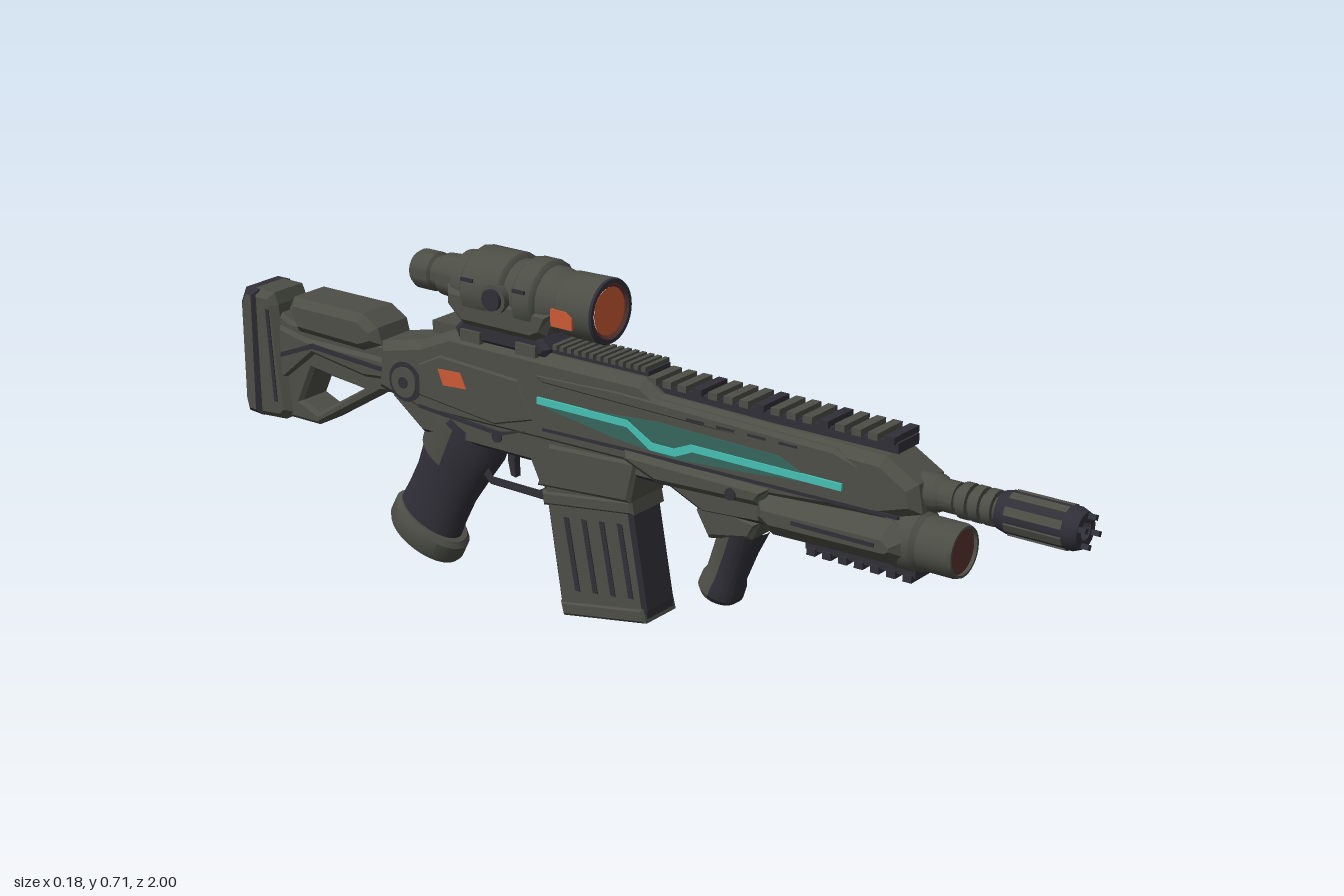
import * as THREE from 'three';
import { toCreasedNormals } from 'three/addons/utils/BufferGeometryUtils.js';

const paint = (name, color) => {
  const m = new THREE.MeshStandardMaterial({ color });
  m.name = name;
  return m;
};

export function createModel() {
  const olive = paint('olive grey', 0x4c4e46);
  const dark = paint('dark slate', 0x302f38);
  const orange = paint('orange', 0xcb5a35);
  const teal = paint('bright teal', 0x46c0b4);
  const deepTeal = paint('deep teal', 0x35665e);
  const lens = paint('dull red lens', 0x5a3330);
  const root = new THREE.Group();

  const add = (name, geo, mat, parent = root) => {
    const m = new THREE.Mesh(geo, mat);
    m.name = name;
    parent.add(m);
    return m;
  };
  // Side profile of [z, y] points, extruded across x with chamfered edges
  const slab = (name, pts, half, mat, bevel = 0.01, hole = null, cx = 0) => {
    const shape = new THREE.Shape(pts.map(p => new THREE.Vector2(...p)));
    if (hole) shape.holes.push(new THREE.Path(hole.map(p => new THREE.Vector2(...p))));
    const depth = 2 * (half - bevel);
    const geo = new THREE.ExtrudeGeometry(shape, {
      depth, bevelEnabled: bevel > 0, bevelThickness: bevel, bevelSize: bevel, bevelOffset: -bevel, bevelSegments: 1,
    });
    geo.translate(0, 0, -depth / 2).rotateY(-Math.PI / 2).translate(cx, 0, 0);
    return add(name, geo, mat);
  };
  const rect = (z0, z1, y0, y1) => [[z0, y0], [z1, y0], [z1, y1], [z0, y1]];
  // Thin plate on both sides, its outer face at x = +-face
  const plate = (name, pts, face, mat) => {
    for (const s of [1, -1]) slab(name, pts, 0.003, mat, 0, null, s * (face - 0.003));
  };
  const box = (name, w, h, d, x, y, z, mat) =>
    add(name, new THREE.BoxGeometry(w, h, d).translate(x, y, z), mat);
  // Round part along z from [z, radius] points, back to front
  const turned = (name, pts, y, mat, sides = 32, x = 0) => {
    const geo = new THREE.LatheGeometry(pts.map(([z, r]) => new THREE.Vector2(r, z)), sides);
    return add(name, toCreasedNormals(geo.rotateX(Math.PI / 2), 0.6).translate(x, y, 0), mat);
  };
  const disc = (name, r, y, z, mat) => add(name, new THREE.CircleGeometry(r, 32).translate(0, y, z), mat);

  // Barrel and muzzle
  turned('barrel', [[0.6, 0], [0.6, 0.036], [0.69, 0.036], [0.7, 0.03], [0.73, 0.03], [0.73, 0.024], [0.84, 0.024]], 0.44, olive, 16);
  for (let i = 0; i < 3; i++)
    turned('barrelRing', [[0, 0.02], [0, 0.034], [0.018, 0.034], [0.018, 0.02]].map(([z, r]) => [z + 0.74 + i * 0.026, r]), 0.44, olive, 16);
  turned('muzzle', [[0.82, 0.02], [0.82, 0.036], [0.835, 0.04], [0.97, 0.04], [0.985, 0.034], [0.985, 0.018], [0.94, 0.016], [0.94, 0]], 0.44, dark, 16);
  for (let i = 0; i < 8; i++) {
    const a = i * Math.PI / 4 + Math.PI / 8;
    const rib = new THREE.BoxGeometry(0.006, 0.016, 0.115).translate(0.039, 0, 0.9).rotateZ(a).translate(0, 0.44, 0);
    add('muzzleRib', rib, olive);
    if (i % 2) add('muzzleProng', new THREE.BoxGeometry(0.01, 0.01, 0.025).translate(0.027, 0, 0.9875).rotateZ(a).translate(0, 0.44, 0), dark);
  }

  // Receiver and handguard
  slab('upperBody', [[0.68, 0.41], [0.67, 0.465], [0.6, 0.505], [0.1, 0.515], [0.06, 0.54], [-0.42, 0.54], [-0.5, 0.505],
    [-0.61, 0.48], [-0.62, 0.38], [-0.5, 0.35], [0.3, 0.36], [0.6, 0.385]], 0.06, olive, 0.018);
  slab('lowerReceiver', [[0.34, 0.39], [0.34, 0.31], [0.2, 0.3], [0.12, 0.335], [0.04, 0.335], [0.03, 0.29], [-0.2, 0.27],
    [-0.22, 0.31], [-0.5, 0.31], [-0.58, 0.37], [-0.58, 0.4]], 0.054, [olive, dark], 0.008);
  slab('handguardSide', [[0.36, 0.39], [0.34, 0.35], [0.1, 0.34], [0.02, 0.37], [0.02, 0.395]], 0.073, olive, 0.014);
  slab('magazineWell', [[0.05, 0.37], [0.03, 0.28], [-0.2, 0.265], [-0.17, 0.36]], 0.06, olive, 0.008);
  slab('receiverArmour', [[-0.2, 0.40], [-0.24, 0.48], [-0.44, 0.49], [-0.5, 0.46], [-0.5, 0.39], [-0.3, 0.37]], 0.064, olive, 0.006);
  slab('upperArmour', [[0.56, 0.475], [0.5, 0.5], [0.0, 0.51], [-0.2, 0.50], [-0.18, 0.48], [0.2, 0.475]], 0.063, olive, 0.008);
  plate('bodySeam', [[0.64, 0.402], [0.64, 0.396], [0.06, 0.39], [-0.18, 0.385], [-0.18, 0.391], [0.06, 0.397]], 0.062, dark);
  plate('armourGroove', [[-0.22, 0.375], [-0.29, 0.35], [-0.5, 0.365], [-0.5, 0.372], [-0.29, 0.358]], 0.062, dark);
  for (let i = 0; i < 4; i++) plate('armourSlot', rect(0.42 - i * 0.07, 0.38 - i * 0.07, 0.484, 0.489), 0.0645, dark);

  // Glowing side strip
  plate('glowPanel', [[0.46, 0.425], [0.38, 0.46], [0.1, 0.465], [-0.04, 0.455], [-0.17, 0.45], [-0.17, 0.435], [0, 0.41], [0.14, 0.4], [0.3, 0.41]], 0.062, deepTeal);
  plate('glowStrip', [[0.52, 0.424], [0.52, 0.438], [0.18, 0.438], [0.14, 0.421], [0.09, 0.421], [0.03, 0.454], [-0.19, 0.454],
    [-0.19, 0.44], [0.03, 0.44], [0.085, 0.406], [0.145, 0.406], [0.185, 0.424]], 0.065, teal);
  plate('orangeMark', [[-0.37, 0.432], [-0.385, 0.463], [-0.443, 0.46], [-0.43, 0.428]], 0.066, orange);

  // Rails
  box('frontRailBase', 0.07, 0.02, 0.56, 0, 0.52, 0.34, dark);
  for (let i = 0; i < 16; i++) box('frontRailTooth', 0.084, 0.014, 0.02, 0, 0.535, 0.605 - i * 0.0355, i % 4 ? olive : dark);
  box('rearRailBase', 0.07, 0.014, 0.4, 0, 0.543, -0.14, dark);
  for (let i = 0; i < 14; i++) box('rearRailTooth', 0.076, 0.01, 0.01, 0, 0.553, 0.05 - i * 0.018, olive);
  box('rearSightBlock', 0.07, 0.025, 0.08, 0, 0.535, -0.44, olive);

  // Tube under the barrel
  turned('underTube', [[0.3, 0], [0.3, 0.05], [0.62, 0.05], [0.62, 0.06], [0.66, 0.06], [0.67, 0.052], [0.735, 0.052], [0.745, 0.049], [0.745, 0.044], [0.72, 0.044]], 0.34, olive);
  disc('underTubeLens', 0.045, 0.34, 0.738, lens);
  slab('tubeHousing', [[0.66, 0.36], [0.66, 0.32], [0.63, 0.3], [0.36, 0.295], [0.32, 0.32], [0.32, 0.38], [0.62, 0.385]], 0.076, olive, 0.03);
  plate('housingSlot', rect(0.6, 0.42, 0.338, 0.346), 0.078, dark);
  box('lowerRailBase', 0.07, 0.025, 0.24, 0, 0.292, 0.545, dark);
  for (let i = 0; i < 7; i++) box('lowerRailTooth', 0.08, 0.014, 0.019, 0, 0.277, 0.65 - i * 0.035, dark);

  // Slanted round grips: profile [radius, height], flattened across x
  const post = (name, pts, z, y, tilt, flat, mat, start = 0, length = Math.PI * 2) => {
    let geo = new THREE.LatheGeometry(pts.map(p => new THREE.Vector2(...p)), 28, start, length);
    geo.scale(flat, 1, 1);
    geo = toCreasedNormals(geo, 0.6).rotateX(tilt).translate(0, y, z);
    return add(name, geo, mat);
  };
  const foreProfile = [[0, 0], [0.038, 0], [0.046, 0.012], [0.045, 0.035], [0.04, 0.05], [0.043, 0.12], [0.05, 0.18]];
  post('foregripFront', foreProfile, 0.205, 0.12, 0.36, 1, dark, -Math.PI / 2, Math.PI);
  post('foregripBack', foreProfile, 0.205, 0.12, 0.36, 1, olive, Math.PI / 2, Math.PI);
  slab('foregripMount', [[0.33, 0.31], [0.31, 0.27], [0.21, 0.25], [0.18, 0.3], [0.2, 0.33]], 0.052, olive, 0.01);
  post('grip', [[0.08, 0.02], [0.076, 0.08], [0.076, 0.14], [0.084, 0.2], [0.095, 0.27], [0.09, 0.31]], -0.545, 0.07, 0.48, 0.62, dark);
  post('gripCap', [[0, 0.012], [0.066, 0.012], [0.07, 0], [0.088, 0], [0.094, 0.012], [0.094, 0.045], [0.084, 0.056], [0.07, 0.056]], -0.545, 0.057, 0.48, 0.66, olive);
  post('gripShoulder', [[0.086, 0.2], [0.094, 0.25], [0.1, 0.3]], -0.548, 0.07, 0.48, 0.64, olive, Math.PI / 2, Math.PI);

  // Magazine with ribbed sides
  slab('magazine', [[0.02, 0.31], [0.064, 0.06], [0.064, 0.035], [-0.14, 0], [-0.15, 0.03], [-0.19, 0.28]], 0.05, [olive, dark], 0.008);
  slab('magazineFoot', [[0.058, 0.065], [0.066, 0.035], [-0.14, 0], [-0.148, 0.03]], 0.054, olive, 0.006);
  slab('magazineCollar', [[0.03, 0.285], [0.036, 0.255], [-0.188, 0.225], [-0.192, 0.255]], 0.054, olive, 0.006);
  for (let i = 0; i < 4; i++) {
    const z = 0.008 - i * 0.044, y = 0.23 - i * 0.006;
    plate('magazineSlot', [[z, y], [z - 0.012, y], [z + 0.016, y - 0.15], [z + 0.028, y - 0.15]], 0.052, dark);
  }

  // Trigger and guard
  slab('triggerGuard', [[-0.18, 0.32], [-0.19, 0.235], [-0.21, 0.22], [-0.35, 0.222], [-0.38, 0.25], [-0.38, 0.32]], 0.022, dark, 0.003,
    [[-0.2, 0.31], [-0.205, 0.245], [-0.22, 0.237], [-0.34, 0.238], [-0.355, 0.255], [-0.345, 0.31]]);
  slab('trigger', [[-0.28, 0.32], [-0.295, 0.28], [-0.293, 0.245], [-0.305, 0.247], [-0.313, 0.28], [-0.31, 0.32]], 0.01, dark, 0.002);

  // Stock
  slab('stockFrame', [[-0.52, 0.47], [-0.54, 0.38], [-0.62, 0.365], [-0.8, 0.255], [-0.94, 0.255], [-0.94, 0.5], [-0.87, 0.47]], 0.042, olive, 0.008,
    [[-0.67, 0.362], [-0.81, 0.375], [-0.845, 0.3], [-0.8, 0.282]]);
  slab('cheekRest', [[-0.61, 0.47], [-0.62, 0.505], [-0.66, 0.528], [-0.85, 0.528], [-0.865, 0.5], [-0.84, 0.455], [-0.66, 0.45]], 0.06, olive, 0.016);
  slab('stockArm', [[-0.56, 0.445], [-0.56, 0.40], [-0.66, 0.39], [-0.8, 0.41], [-0.9, 0.33], [-0.9, 0.46], [-0.82, 0.445]], 0.05, olive, 0.01);
  plate('stockGroove', [[-0.6, 0.425], [-0.6, 0.416], [-0.8, 0.426], [-0.89, 0.39], [-0.89, 0.4], [-0.8, 0.437]], 0.052, dark);
  slab('buttPlate', [[-0.9, 0.5], [-0.87, 0.27], [-0.89, 0.25], [-0.96, 0.245], [-0.965, 0.525], [-0.91, 0.525]], 0.056, olive, 0.014);
  plate('buttSlot', [[-0.915, 0.49], [-0.9, 0.29], [-0.909, 0.29], [-0.924, 0.49]], 0.058, dark);
  slab('buttPad', [[-0.95, 0.525], [-0.95, 0.247], [-0.99, 0.25], [-0.998, 0.28], [-1, 0.49], [-0.985, 0.525]], 0.06, [olive, dark], 0.012);
  // Pivot bosses
  const boss = (name, r, z, y, half, mat) =>
    add(name, new THREE.CylinderGeometry(r, r, half * 2, 20).rotateZ(Math.PI / 2).translate(0, y, z), mat);
  boss('stockPivot', 0.042, -0.535, 0.412, 0.062, dark);
  boss('stockPivotCap', 0.032, -0.535, 0.412, 0.067, olive);
  boss('stockPivotPin', 0.012, -0.535, 0.412, 0.069, dark);
  boss('receiverPin', 0.012, -0.3, 0.345, 0.058, dark);
  boss('handguardPin', 0.012, 0.28, 0.365, 0.076, dark);

  // Scope
  const sy = 0.638;
  turned('scopeBody', [[-0.54, 0], [-0.54, 0.034], [-0.53, 0.04], [-0.49, 0.04], [-0.485, 0.034], [-0.47, 0.034], [-0.465, 0.043], [-0.42, 0.046],
    [-0.41, 0.06], [-0.36, 0.066], [-0.18, 0.066], [-0.15, 0.06], [-0.145, 0.064], [-0.06, 0.066]], sy, olive);
  turned('scopeRim', [[-0.06, 0.066], [-0.055, 0.064], [-0.055, 0.056], [-0.062, 0.054]], sy, dark);
  turned('scopeInnerRim', [[-0.058, 0.057], [-0.056, 0.055], [-0.062, 0.047]], sy, lens);
  disc('scopeLens', 0.048, sy, -0.06, orange);
  disc('eyeLens', 0.029, sy, 0, dark).geometry.rotateY(Math.PI).translate(0, 0, -0.542);
  for (const [z0, z1] of [[-0.25, -0.19], [-0.38, -0.27]])
    turned('scopeBand', [[z0, 0.06], [z0 + 0.004, 0.072], [z0 + 0.01, 0.077], [z1 - 0.01, 0.077], [z1 - 0.004, 0.072], [z1, 0.06]], sy, olive, 16);
  slab('scopeHousing', [[-0.15, 0.63], [-0.17, 0.58], [-0.2, 0.565], [-0.38, 0.565], [-0.42, 0.6], [-0.42, 0.64]], 0.07, olive, 0.014);
  slab('scopeMount', [[-0.2, 0.58], [-0.17, 0.55], [-0.18, 0.53], [-0.4, 0.53], [-0.41, 0.55], [-0.38, 0.58]], 0.056, dark, 0.01);
  for (const z of [-0.22, -0.36]) box('mountClamp', 0.124, 0.024, 0.05, 0, 0.543, z, olive);
  boss('scopeTurret', 0.03, -0.285, sy, 0.08, olive);
  boss('scopeTurretCap', 0.022, -0.285, sy, 0.088, dark);
  for (const z of [-0.21, -0.34]) plate('scopeSlot', rect(z, z - 0.03, 0.66, 0.667), 0.076, dark);
  plate('scopeOrangeMark', [[-0.1, 0.607], [-0.1, 0.632], [-0.115, 0.642], [-0.152, 0.642], [-0.152, 0.607]], 0.067, orange);

  return root;
}
